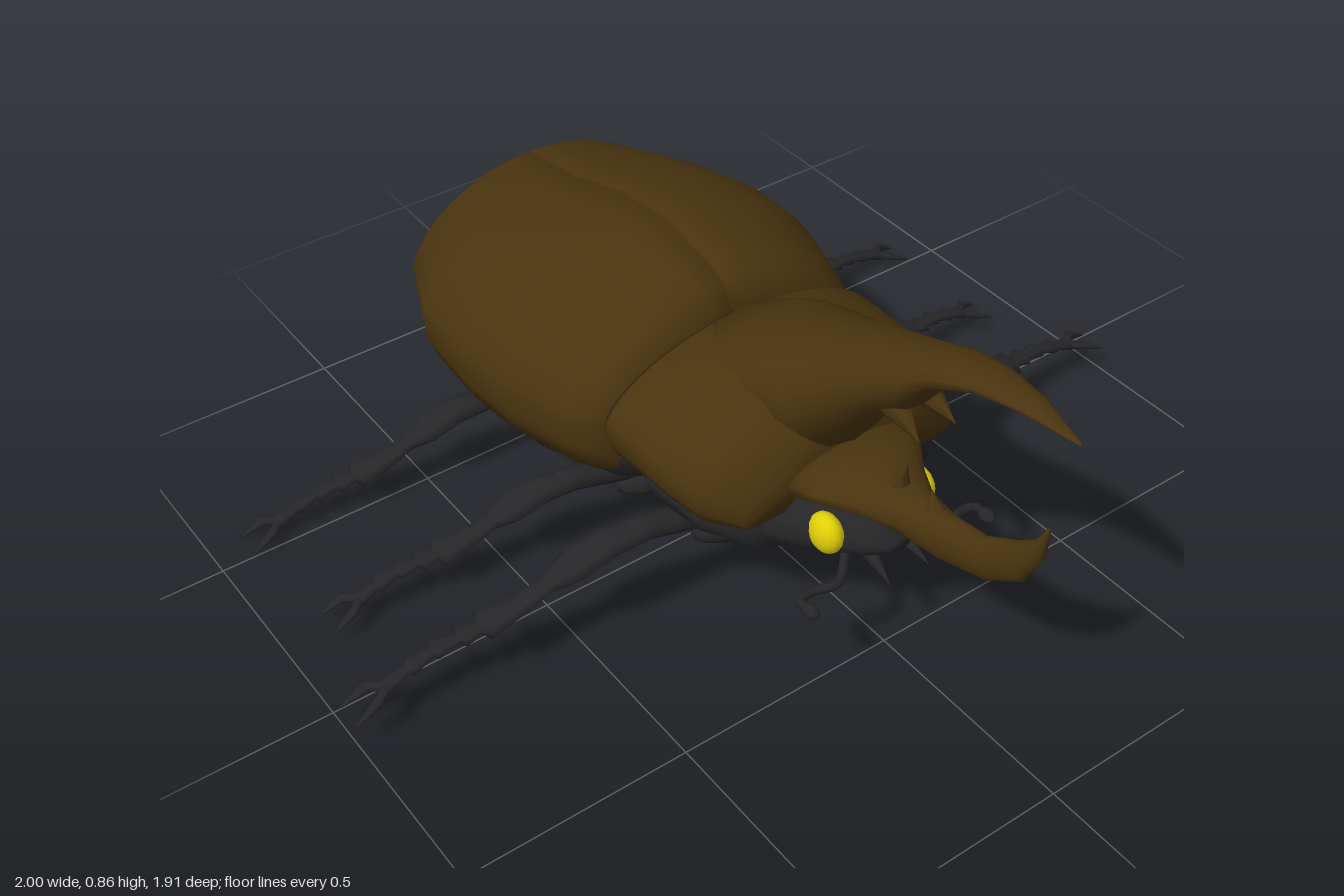
import * as THREE from 'three';

const V = (x, y, z) => new THREE.Vector3(x, y, z);
const mats = {};
for (const [name, color] of [['brownShell', 0x49340f], ['blackBody', 0x262628], ['yellowEye', 0xe0cf08]]) {
  mats[name] = new THREE.MeshStandardMaterial({ color });
  mats[name].name = name;
}
const { brownShell, blackBody, yellowEye } = mats;

// Closed skin through a list of equal-length rings, always wound outwards
function loft(name, rings, mat) {
  const n = rings[0].length, pts = rings.flat(), idx = [];
  for (let r = 0; r < rings.length - 1; r++)
    for (let i = 0; i < n; i++) {
      const a = r * n + i, b = r * n + (i + 1) % n;
      idx.push(a, b, a + n, b, b + n, a + n);
    }
  [0, rings.length - 1].forEach((r, end) => {
    const c = pts.length;
    pts.push(rings[r].reduce((s, p) => s.add(p), V(0, 0, 0)).divideScalar(n));
    for (let i = 0; i < n; i++) {
      const a = r * n + i, b = r * n + (i + 1) % n;
      if (end) idx.push(a, b, c); else idx.push(b, a, c);
    }
  });
  let volume = 0;
  for (let i = 0; i < idx.length; i += 3)
    volume += pts[idx[i]].dot(V(0, 0, 0).crossVectors(pts[idx[i + 1]], pts[idx[i + 2]]));
  if (volume < 0) idx.reverse();
  const g = new THREE.BufferGeometry().setFromPoints(pts);
  g.setIndex(idx);
  g.computeVertexNormals();
  const m = new THREE.Mesh(g, mat);
  m.name = name;
  return m;
}

// Ellipse ring around c with half axes u and v
const ring = (c, u, v, n = 14) => Array.from({ length: n }, (_, i) => {
  const a = i / n * Math.PI * 2;
  return c.clone().addScaledVector(u, Math.cos(a)).addScaledVector(v, Math.sin(a));
});

// Sections given as [top z, top y, bottom z, bottom y, half width]
const spine = (name, rows, mat, n) => loft(name, rows.map(([zt, yt, zb, yb, w]) =>
  ring(V(0, (yt + yb) / 2, (zt + zb) / 2), V(0, (yt - yb) / 2, (zt - zb) / 2), V(w, 0, 0), n)), mat);

// Limb through points [x, y, z, half height, half depth]
const limb = (name, rows, s, mat) => loft(name, rows.map(([x, y, z, hy, hz]) =>
  ring(V(x * s, y, z), V(0, hy, 0), V(0, 0, hz), 8)), mat);

// Half arch from the crown down to the rim, for a shell section
const arch = (s, z, w, yt, ym, yb, x0 = 0, steps = 9) => {
  const out = [];
  for (let i = 0; i <= steps; i++) {
    const a = i / steps * Math.PI / 2;
    out.push(V(s * Math.max(x0, w * Math.sin(a)), ym + (yt - ym) * Math.max(0, Math.cos(a)) ** 1.2, z));
  }
  out.push(V(s * w * 0.99, (ym + yb) / 2, z), V(s * w * 0.94, yb, z));
  return out;
};

// Pointed spike from one point to another
function spike(name, from, to, r, mat) {
  const d = to.clone().sub(from);
  const m = new THREE.Mesh(new THREE.ConeGeometry(r, d.length(), 8), mat);
  m.position.copy(from).addScaledVector(d, 0.5);
  m.quaternion.setFromUnitVectors(V(0, 1, 0), d.normalize());
  m.name = name;
  return m;
}

function ball(name, x, y, z, rx, ry, rz, mat) {
  const m = new THREE.Mesh(new THREE.SphereGeometry(1, 16, 10), mat);
  m.position.set(x, y, z);
  m.scale.set(rx, ry, rz);
  m.name = name;
  return m;
}

// Flattened leg: thigh, flared shin, jagged foot joints and a forked claw
function leg(name, s, rootZ, tipZ, rootY, tipY, reach) {
  const g = new THREE.Group();
  g.name = name;
  const k = reach - 0.35;
  const P = t => [0.35 + k * t, rootY + (tipY - rootY) * t + 0.022 * Math.sin(t * 9.4) * (1 - t), rootZ + (tipZ - rootZ) * Math.min(1, t * 1.4)];
  const part = (n, list) => g.add(limb(n, list.map(([t, hy, hz]) => [...P(t), hy, hz]), s, blackBody));
  g.add(ball('hip', s * 0.14, rootY - 0.06, rootZ + 0.02, 0.12, 0.045, 0.06, blackBody));
  g.add(limb('upperThigh', [[0.12, rootY - 0.06, rootZ + 0.02, 0.03, 0.04], [0.24, rootY - 0.02, rootZ + 0.01, 0.028, 0.035],
    [...P(0), 0.024, 0.032], [...P(0.06), 0.02, 0.03]], s, blackBody));
  part('thigh', [[0, 0.022, 0.03], [0.14, 0.024, 0.04], [0.25, 0.022, 0.045], [0.33, 0.014, 0.022]]);
  part('shin', [[0.3, 0.012, 0.018], [0.38, 0.015, 0.026], [0.46, 0.017, 0.03], [0.54, 0.02, 0.042], [0.56, 0.01, 0.012]]);
  for (let i = 0; i < 4; i++) {
    const t = 0.53 + i * 0.085;
    part('footJoint', [[t, 0.008, 0.012], [t + 0.085, 0.013, 0.03 - i * 0.003], [t + 0.1, 0.006, 0.01]]);
  }
  for (const d of [-1, 1]) {
    const [x, y, z] = P(0.86);
    g.add(limb('claw', [[x, y, z, 0.01, 0.014], [x + k * 0.06, y - 0.005, z + d * 0.026, 0.009, 0.013],
      [reach, tipY, z + d * 0.032, 0.002, 0.003]], s, blackBody));
  }
  return g;
}

export function createModel() {
  const model = new THREE.Group();
  model.name = 'hornedBeetle';

  // Wing cases, split by a groove along the back
  const wing = [[-0.015, 0.3, 0.55, 0.38, 0.26], [-0.05, 0.34, 0.595, 0.37, 0.25], [-0.1, 0.37, 0.615, 0.36, 0.25],
    [-0.27, 0.42, 0.64, 0.36, 0.25], [-0.42, 0.43, 0.62, 0.36, 0.245], [-0.6, 0.415, 0.565, 0.35, 0.24],
    [-0.8, 0.33, 0.53, 0.33, 0.225], [-0.92, 0.2, 0.43, 0.3, 0.215], [-0.955, 0.05, 0.3, 0.28, 0.26]];
  for (const s of [-1, 1])
    model.add(loft(s > 0 ? 'leftWingCase' : 'rightWingCase', wing.map(([z, w, yt, ym, yb]) =>
      [V(0, yb, z), V(0, yt - 0.025, z), ...arch(s, z, w, yt, ym, yb, 0.006)]), brownShell));

  // Neck shield
  const shield = [[0, 0.335, 0.55, 0.41, 0.34], [0.015, 0.342, 0.56, 0.41, 0.34], [0.1, 0.335, 0.59, 0.41, 0.34],
    [0.2, 0.33, 0.61, 0.4, 0.34], [0.28, 0.31, 0.6, 0.39, 0.33], [0.37, 0.265, 0.53, 0.385, 0.35]];
  model.add(loft('neckShield', shield.map(r => [...arch(1, ...r), ...arch(-1, ...r).slice(1).reverse()]), brownShell));

  // Great upper horn with its teeth
  model.add(spine('upperHorn', [[0.01, 0.56, 0.02, 0.42, 0.17], [0.1, 0.61, 0.12, 0.42, 0.18], [0.2, 0.657, 0.24, 0.42, 0.17],
    [0.3, 0.7, 0.38, 0.46, 0.145], [0.4, 0.742, 0.44, 0.55, 0.115], [0.5, 0.783, 0.5, 0.62, 0.092],
    [0.57, 0.81, 0.56, 0.665, 0.08], [0.65, 0.84, 0.62, 0.75, 0.064], [0.75, 0.857, 0.72, 0.81, 0.047],
    [0.84, 0.857, 0.83, 0.833, 0.03], [0.952, 0.838, 0.95, 0.833, 0.003]], brownShell));
  for (const s of [-1, 1])
    model.add(spike('upperHornTooth', V(s * 0.03, 0.68, 0.49), V(s * 0.045, 0.63, 0.61), 0.045, brownShell));

  // Lower horn rising from the forehead
  model.add(spine('lowerHorn', [[0.34, 0.46, 0.34, 0.34, 0.17], [0.42, 0.455, 0.42, 0.36, 0.14], [0.49, 0.445, 0.49, 0.365, 0.09],
    [0.57, 0.455, 0.56, 0.352, 0.05], [0.65, 0.46, 0.66, 0.355, 0.036], [0.75, 0.48, 0.78, 0.392, 0.027],
    [0.83, 0.53, 0.86, 0.45, 0.021], [0.88, 0.57, 0.9, 0.53, 0.015], [0.905, 0.617, 0.909, 0.612, 0.003]], brownShell));
  model.add(spike('lowerHornTooth', V(0, 0.42, 0.51), V(0, 0.505, 0.535), 0.03, brownShell));
  model.add(spike('lowerHornTooth', V(0, 0.43, 0.63), V(0, 0.492, 0.605), 0.03, brownShell));

  // Dark underside, chest and head
  model.add(spine('belly', [[0.02, 0.36, 0.02, 0.2, 0.26], [-0.05, 0.42, -0.05, 0.14, 0.32], [-0.2, 0.44, -0.2, 0.12, 0.385],
    [-0.42, 0.44, -0.42, 0.115, 0.4], [-0.6, 0.42, -0.6, 0.12, 0.385], [-0.78, 0.38, -0.78, 0.13, 0.3],
    [-0.89, 0.29, -0.89, 0.19, 0.17]], blackBody, 24));
  model.add(spine('chest', [[-0.02, 0.48, -0.02, 0.2, 0.28], [0.12, 0.48, 0.12, 0.19, 0.32], [0.26, 0.45, 0.26, 0.2, 0.3],
    [0.35, 0.4, 0.35, 0.22, 0.24]], blackBody, 20));
  model.add(spine('head', [[0.25, 0.42, 0.25, 0.2, 0.28], [0.36, 0.4, 0.36, 0.22, 0.2], [0.44, 0.375, 0.44, 0.235, 0.13],
    [0.5, 0.345, 0.5, 0.26, 0.08], [0.53, 0.31, 0.53, 0.28, 0.03]], blackBody, 16));

  // Eyes, feelers, mouth feelers and legs on both sides
  for (const s of [-1, 1]) {
    const side = s > 0 ? 'left' : 'right';
    model.add(ball(side + 'Eye', s * 0.117, 0.325, 0.442, 0.03, 0.045, 0.043, yellowEye));
    const path = new THREE.CatmullRomCurve3([V(s * 0.08, 0.27, 0.46), V(s * 0.14, 0.255, 0.51),
      V(s * 0.19, 0.25, 0.495), V(s * 0.225, 0.25, 0.5), V(s * 0.228, 0.25, 0.53)]);
    const feeler = new THREE.Mesh(new THREE.TubeGeometry(path, 16, 0.01, 6), blackBody);
    feeler.name = side + 'Feeler';
    model.add(feeler, ball(side + 'FeelerClub', s * 0.227, 0.25, 0.535, 0.015, 0.015, 0.022, blackBody));
    model.add(spike(side + 'MouthFeeler', V(s * 0.04, 0.27, 0.47), V(s * 0.05, 0.235, 0.565), 0.02, blackBody));
    model.add(leg(side + 'FrontLeg', s, 0.17, 0.08, 0.27, 0.06, 1));
    model.add(leg(side + 'MiddleLeg', s, -0.11, -0.2, 0.2, 0.03, 0.9));
    model.add(leg(side + 'RearLeg', s, -0.46, -0.54, 0.19, 0.003, 0.92));
  }
  return model;
}
